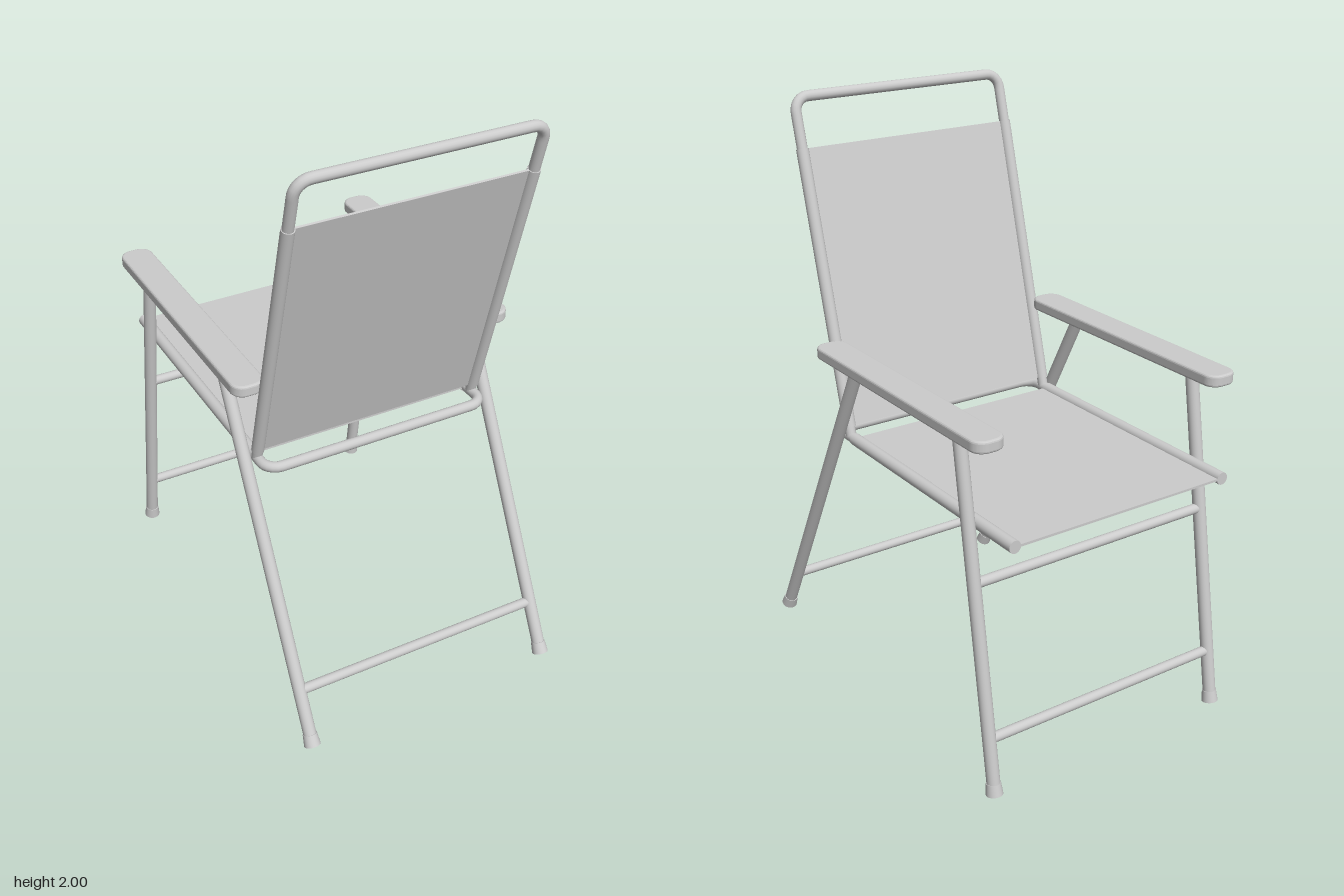
import * as THREE from 'three';

const material = new THREE.MeshStandardMaterial({ color: 0xcccccc });
const V = (x, y, z) => new THREE.Vector3(x, y, z);

function add(parent, name, geometry) {
  const mesh = new THREE.Mesh(geometry, material);
  mesh.name = name;
  parent.add(mesh);
  return mesh;
}

// Capped round bar from a to b, optionally flared
function rod(parent, name, a, b, r, rEnd = r) {
  const dir = b.clone().sub(a);
  const mesh = add(parent, name, new THREE.CylinderGeometry(rEnd, r, dir.length(), 24));
  mesh.position.copy(a).add(b).multiplyScalar(0.5);
  mesh.quaternion.setFromUnitVectors(V(0, 1, 0), dir.normalize());
  return mesh;
}

// U-shaped tube with two rounded corners; end = open end, bend = closed end
function uFrame(parent, name, end, bend, r, corner) {
  const mirror = (p) => V(-p.x, p.y, p.z);
  const back = end.clone().sub(bend).normalize().multiplyScalar(corner).add(bend);
  const inner = V(bend.x - corner, bend.y, bend.z);
  const k = 0.5523;
  const c1 = back.clone().lerp(bend, k), c2 = inner.clone().lerp(bend, k);
  const path = new THREE.CurvePath();
  path.add(new THREE.LineCurve3(end, back));
  path.add(new THREE.CubicBezierCurve3(back, c1, c2, inner));
  path.add(new THREE.LineCurve3(inner, mirror(inner)));
  path.add(new THREE.CubicBezierCurve3(mirror(inner), mirror(c2), mirror(c1), mirror(back)));
  path.add(new THREE.LineCurve3(mirror(back), mirror(end)));
  add(parent, name, new THREE.TubeGeometry(path, 200, r, 16));
}

// Fabric sheet stretched between two sleeves around the side tubes
function sling(parent, name, a, b, x) {
  const group = new THREE.Group();
  group.name = name;
  parent.add(group);
  const dir = b.clone().sub(a);
  const sheet = add(group, name + 'Sheet', new THREE.BoxGeometry(2 * x, dir.length(), 0.008));
  sheet.position.copy(a).add(b).multiplyScalar(0.5);
  sheet.quaternion.setFromUnitVectors(V(0, 1, 0), dir.normalize());
  for (const s of [1, -1]) {
    rod(group, name + 'Sleeve', V(s * x, a.y, a.z), V(s * x, b.y, b.z), 0.021);
  }
}

// Armrest pad with rounded plan and softened edges
function armrestGeometry() {
  const bevel = 0.008, w = 0.055 - bevel, l = 0.488 - bevel, r = 0.035;
  const shape = new THREE.Shape();
  shape.moveTo(-w + r, -l);
  shape.lineTo(w - r, -l);
  shape.absarc(w - r, -l + r, r, -Math.PI / 2, 0);
  shape.absarc(w - r, l - r, r, 0, Math.PI / 2);
  shape.absarc(-w + r, l - r, r, Math.PI / 2, Math.PI);
  shape.absarc(-w + r, -l + r, r, Math.PI, Math.PI * 1.5);
  const geometry = new THREE.ExtrudeGeometry(shape, {
    depth: 0.04 - 2 * bevel, bevelEnabled: true, bevelSize: bevel,
    bevelThickness: bevel, bevelSegments: 3, curveSegments: 8,
  });
  geometry.center();
  geometry.rotateX(Math.PI / 2);
  return geometry;
}

export function createModel() {
  const chair = new THREE.Group();
  chair.name = 'foldingChair';
  const sideX = 0.405, legX = 0.452;

  // Tubular frames of the backrest and seat
  const backBottom = V(sideX, 0.88, 0.235), backTop = V(sideX, 1.982, 0.537);
  uFrame(chair, 'backFrame', backBottom, backTop, 0.018, 0.05);
  uFrame(chair, 'seatFrame', V(sideX, 0.88, -0.722), V(sideX, 0.88, 0.316), 0.018, 0.05);

  // Fabric panels
  const onBack = (y) => V(0, y, 0.235 + (y - 0.88) * 0.302 / 1.102);
  sling(chair, 'backFabric', onBack(0.915), onBack(1.82), sideX);
  sling(chair, 'seatFabric', V(0, 0.88, 0.21), V(0, 0.88, -0.724), sideX);

  // Legs: [name, top y/z, bottom y/z, crossbar heights]
  const legs = [
    ['rearLeg', [1.18, 0.092], [0.03, 0.695], [0.195]],
    ['frontLeg', [1.18, -0.503], [0.012, -0.688], [0.195, 0.705]],
  ];
  for (const [name, top, bottom, bars] of legs) {
    for (const s of [1, -1]) {
      const a = V(s * legX, ...bottom), b = V(s * legX, ...top);
      rod(chair, name, a, b, 0.022);
      const up = b.clone().sub(a).normalize();
      // Flared rubber foot
      rod(chair, name + 'Foot', a.clone().addScaledVector(up, -0.004),
        a.clone().addScaledVector(up, 0.036), 0.028, 0.024);
    }
    for (const y of bars) {
      const z = bottom[1] + (top[1] - bottom[1]) * (y - bottom[0]) / (top[0] - bottom[0]);
      rod(chair, name + 'Crossbar', V(-legX, y, z), V(legX, y, z), 0.017);
    }
  }

  // Armrests
  const pad = armrestGeometry();
  for (const s of [1, -1]) {
    add(chair, s > 0 ? 'leftArmrest' : 'rightArmrest', pad).position.set(s * 0.445, 1.19, -0.183);
  }
  return chair;
}
